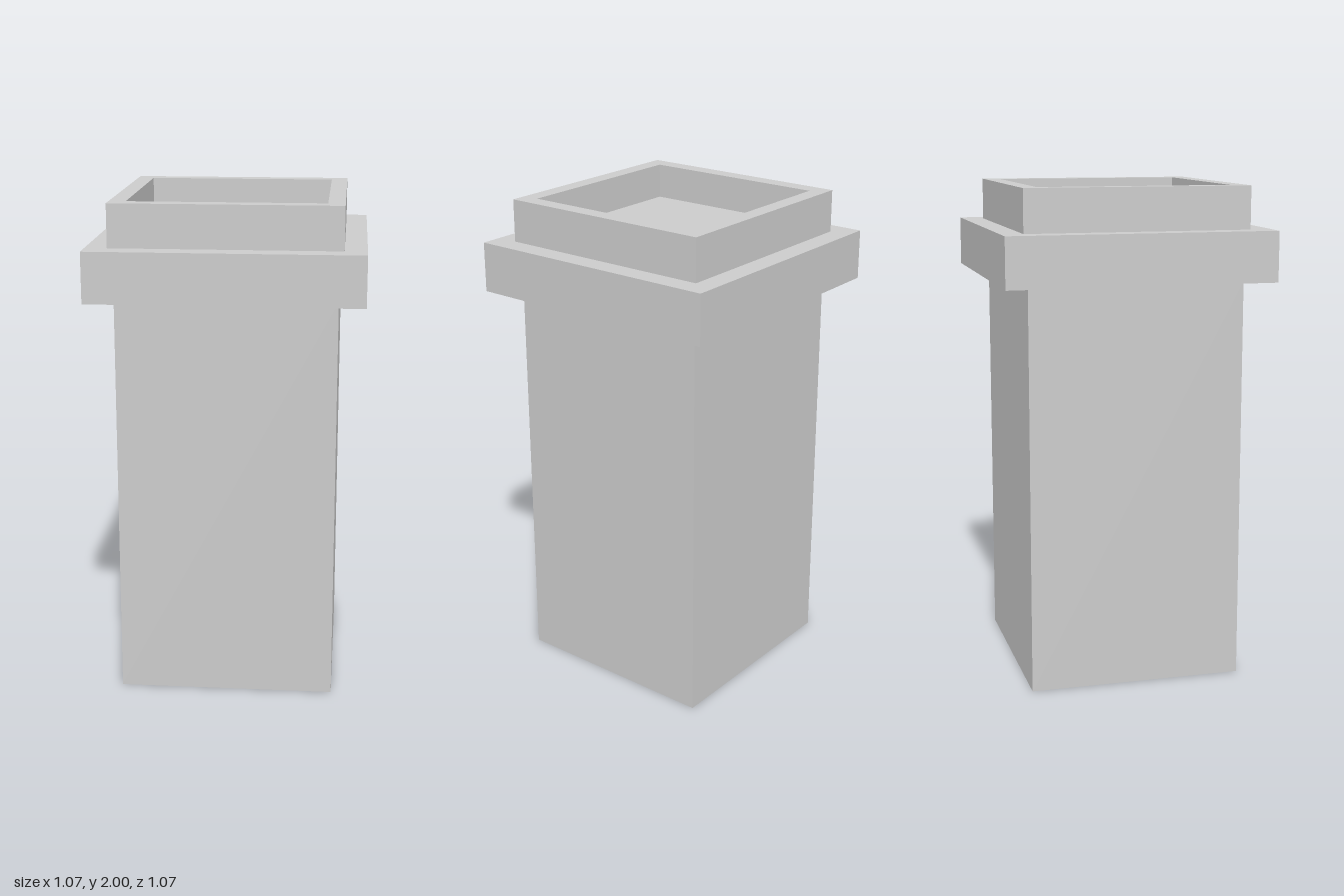
import * as THREE from 'three';

const material = new THREE.MeshStandardMaterial({ color: 0xcccccc, flatShading: true });

// Square block of half-width h between two heights
function block(name, h, y0, y1) {
  const mesh = new THREE.Mesh(new THREE.BoxGeometry(2 * h, y1 - y0, 2 * h), material);
  mesh.name = name;
  mesh.position.y = (y0 + y1) / 2;
  return mesh;
}

// Corner points of a centred square
const square = (h) => [[-h, -h], [h, -h], [h, h], [-h, h]].map(([x, y]) => new THREE.Vector2(x, y));

// Square ring with an open middle between two heights
function frame(name, outer, inner, y0, y1) {
  const shape = new THREE.Shape(square(outer));
  shape.holes.push(new THREE.Path(square(inner).reverse()));
  const geometry = new THREE.ExtrudeGeometry(shape, { depth: y1 - y0, bevelEnabled: false });
  geometry.rotateX(-Math.PI / 2).translate(0, y0, 0);
  const mesh = new THREE.Mesh(geometry, material);
  mesh.name = name;
  return mesh;
}

export function createModel() {
  const model = new THREE.Group();
  model.name = 'squarePillar';
  model.add(
    block('shaft', 0.432, 0, 1.63),
    block('collar', 0.537, 1.63, 1.83),
    frame('rim', 0.45, 0.384, 1.83, 2),
    // Raised floor of the recess inside the rim
    block('recessFloor', 0.384, 1.83, 1.86),
  );
  return model;
}
